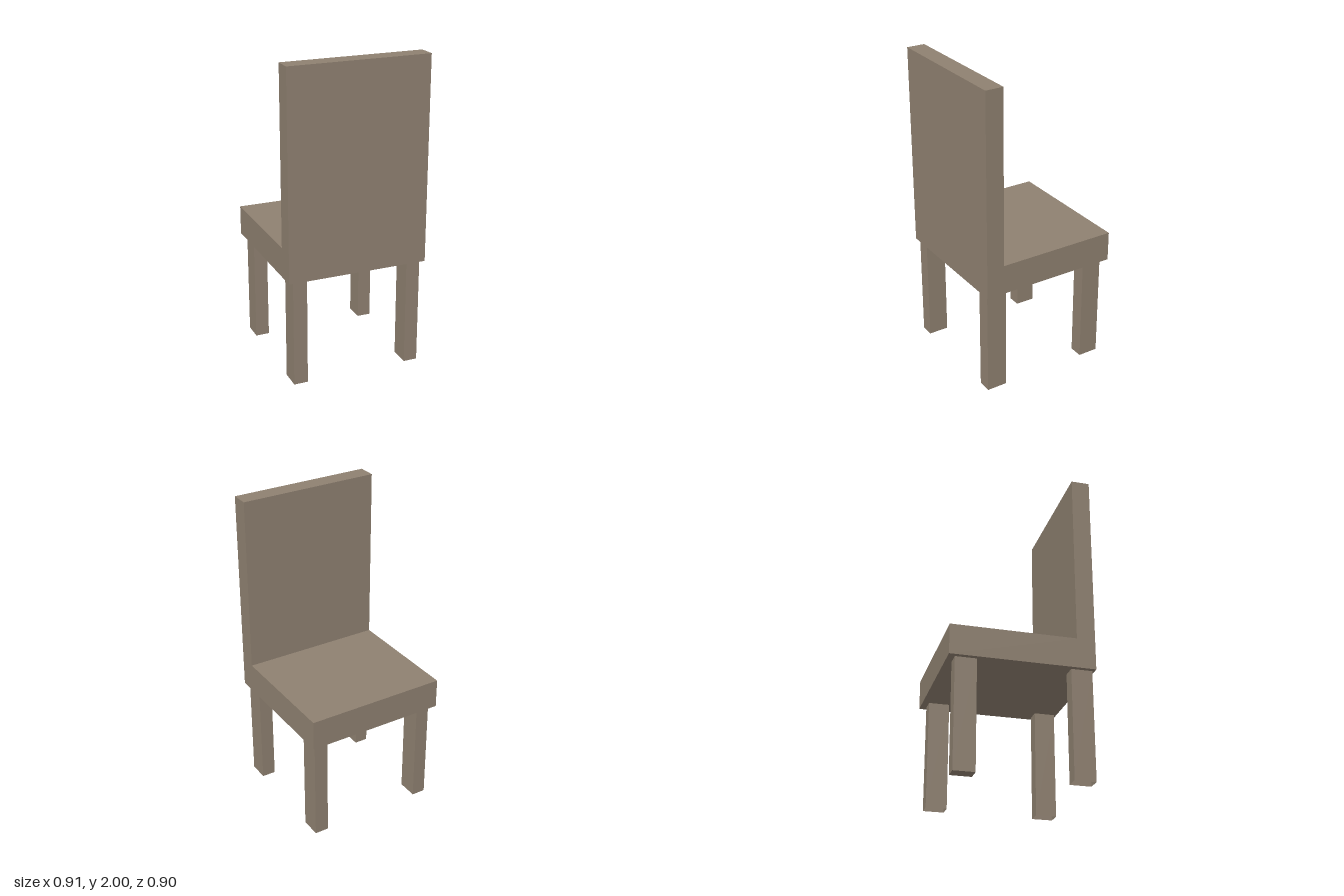
import * as THREE from 'three';

const HALF_W = 0.453, HALF_D = 0.448;
const SEAT_BOTTOM = 0.688, SEAT_TOP = 0.878, BACK_INNER = 0.332;

// Seat and backrest as one L-shaped block, profile drawn in (z, y)
function seatGeometry() {
  const profile = new THREE.Shape([
    [-HALF_D, SEAT_BOTTOM], [HALF_D, SEAT_BOTTOM], [HALF_D, 2],
    [BACK_INNER, 2], [BACK_INNER, SEAT_TOP], [-HALF_D, SEAT_TOP],
  ].map(([z, y]) => new THREE.Vector2(z, y)));
  return new THREE.ExtrudeGeometry(profile, { depth: 2 * HALF_W, bevelEnabled: false })
    .rotateY(-Math.PI / 2)
    .translate(HALF_W, 0, 0);
}

// Square leg standing on the ground; a hollow one has no bottom or top face
function legGeometry(hollow) {
  const box = new THREE.BoxGeometry(0.09, SEAT_BOTTOM, 0.132);
  box.translate(0, SEAT_BOTTOM / 2, 0);
  if (hollow) {
    const index = Array.from(box.index.array);
    box.setIndex([...index.slice(0, 12), ...index.slice(24)]);
    box.clearGroups();
  }
  return box;
}

export function createModel() {
  const model = new THREE.Group();
  model.name = 'chair';
  const wood = new THREE.MeshStandardMaterial({ color: 0x8e8070, side: THREE.DoubleSide });
  wood.name = 'greyBrownWood';

  const add = (name, geometry, x = 0, z = 0) => {
    const mesh = new THREE.Mesh(geometry, wood);
    mesh.name = name;
    mesh.position.set(x, 0, z);
    model.add(mesh);
  };

  add('seatAndBackrest', seatGeometry());

  // Four legs; only one is closed underneath
  for (const [side, x] of [['Left', 0.378], ['Right', -0.378]]) {
    add('backrestLeg' + side, legGeometry(true), x, 0.367);
    add('seatLeg' + side, legGeometry(side === 'Left'), x, -0.341);
  }
  return model;
}
